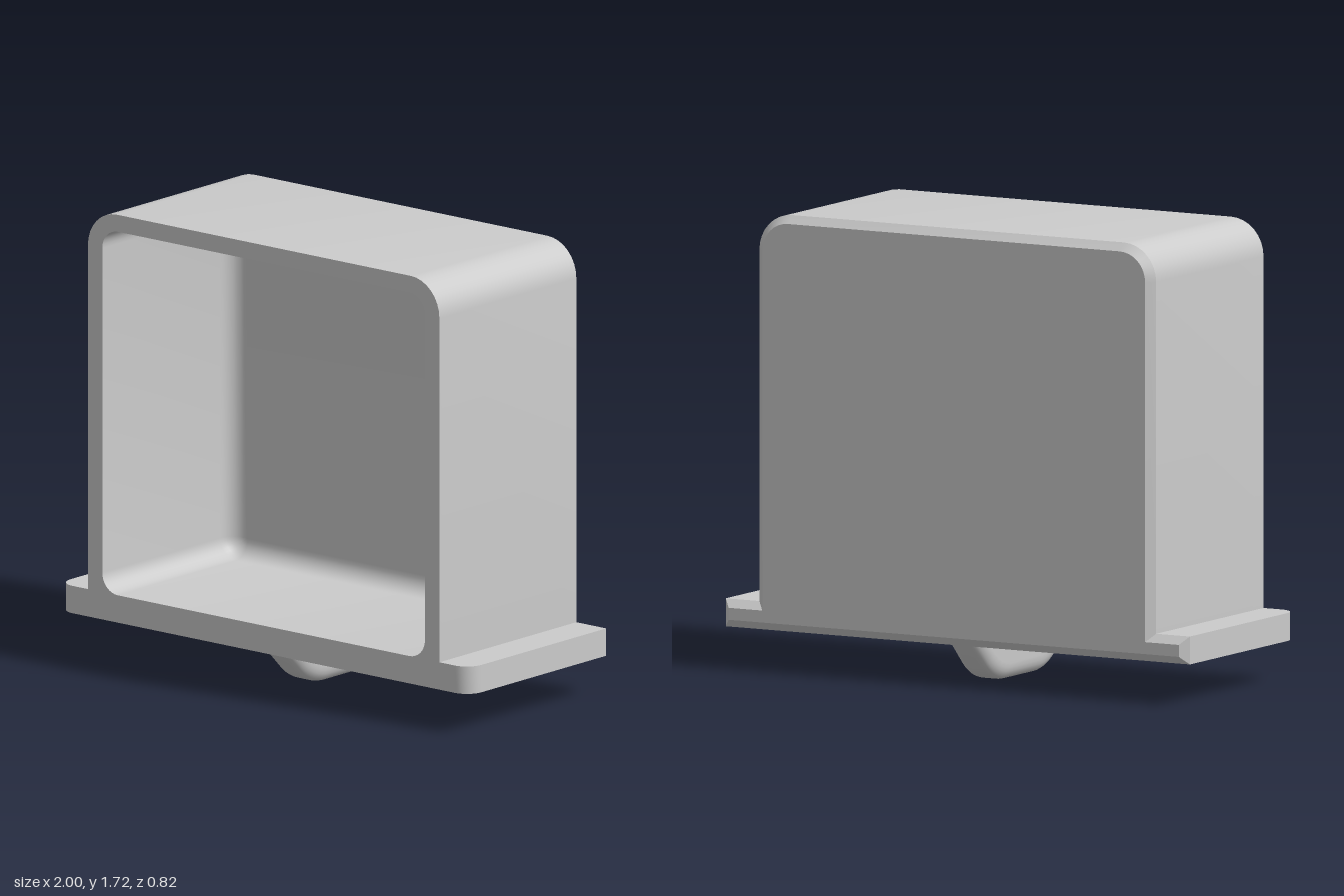
import * as THREE from 'three';
import { mergeGeometries, toCreasedNormals } from 'three/addons/utils/BufferGeometryUtils.js';

const DEPTH = 0.41;      // half depth of the box
const CHAMFER = 0.03;    // back edge chamfer
const BASE = 0.155, FLANGE_TOP = 0.26, TOP = 1.72;

const vec = (x, y) => new THREE.Vector2(x, y);

function arc(cx, cy, r, from, to, steps = 8) {
  return Array.from({ length: steps + 1 }, (_, i) => {
    const a = from + ((to - from) * i) / steps;
    return vec(cx + r * Math.cos(a), cy + r * Math.sin(a));
  });
}

// Skin between counter-clockwise loops, each { z, pts }; rising z faces outward
function loft(sections) {
  const n = sections[0].pts.length, pos = [], index = [];
  for (const { z, pts } of sections) for (const p of pts) pos.push(p.x, p.y, z);
  for (let s = 0; s < sections.length - 1; s++) {
    for (let i = 0; i < n; i++) {
      const j = (i + 1) % n;
      const a = s * n + i, b = s * n + j, c = b + n, d = a + n;
      index.push(a, b, c, a, c, d);
    }
  }
  const g = new THREE.BufferGeometry();
  g.setAttribute('position', new THREE.Float32BufferAttribute(pos, 3));
  g.setIndex(index);
  return g.toNonIndexed();
}

// Flat cap at z, facing +z, or -z when flipped
function cap(pts, z, { flip = false, hole = null } = {}) {
  const shape = new THREE.Shape(pts);
  if (hole) shape.holes.push(new THREE.Path(hole));
  const g = new THREE.ShapeGeometry(shape);
  if (flip) g.setIndex(Array.from(g.index.array).reverse());
  g.translate(0, 0, z);
  g.deleteAttribute('uv');
  g.deleteAttribute('normal');
  return g.toNonIndexed();
}

function part(name, pieces) {
  const material = new THREE.MeshStandardMaterial({ color: 0xcccccc });
  const mesh = new THREE.Mesh(toCreasedNormals(mergeGeometries(pieces), 0.6), material);
  mesh.name = name;
  return mesh;
}

// Outer outline with flange, inset by d, flange ends limited to |x| <= limit
function outline(d, limit = 1) {
  const w = 0.855, r = 0.14, e = Math.min(1 - d, limit);
  return [
    vec(-e, BASE + d), vec(e, BASE + d), vec(e, FLANGE_TOP - d), vec(w - d, FLANGE_TOP - d),
    ...arc(w - r, TOP - r, r - d, 0, Math.PI / 2),
    ...arc(r - w, TOP - r, r - d, Math.PI / 2, Math.PI),
    vec(d - w, FLANGE_TOP - d), vec(-e, FLANGE_TOP - d),
  ];
}

// Rounded cavity opening, inset by d
function opening(d) {
  const r = 0.075, x = 0.785 - r, y0 = 0.26 + r, y1 = 1.655 - r, q = Math.PI / 2;
  return [
    ...arc(x, y0, r - d, -q, 0), ...arc(x, y1, r - d, 0, q),
    ...arc(-x, y1, r - d, q, 2 * q), ...arc(-x, y0, r - d, 2 * q, 3 * q),
  ];
}

// Side profile of the bottom loop, inset by d
function finProfile(d) {
  const R = 0.217, c = 0.11, r = R - d, y = 0.16, q = Math.PI / 4;
  const end = c + r * Math.SQRT1_2 + (y - (R - r * Math.SQRT1_2));
  return [
    vec(-end, y), ...arc(-c, R, r, -3 * q, -2 * q), ...arc(c, R, r, -2 * q, -q), vec(end, y),
  ];
}

function makeHousing() {
  // Outer skin: chamfered back, flange ends rounded towards the front
  const outer = [
    { z: -DEPTH, pts: outline(CHAMFER) },
    { z: -DEPTH + CHAMFER, pts: outline(0) },
  ];
  const round = 0.07;
  for (let i = 0; i <= 8; i++) {
    const a = (i / 8) * Math.PI / 2;
    outer.push({
      z: DEPTH - round + round * Math.sin(a),
      pts: outline(0, 1 - round + round * Math.cos(a)),
    });
  }
  // Cavity: straight walls, then a fillet into the back wall
  const fillet = 0.07, floorZ = -DEPTH + 0.07;
  const inner = [{ z: DEPTH, pts: opening(0) }];
  for (let i = 0; i <= 8; i++) {
    const a = (i / 8) * Math.PI / 2;
    inner.push({
      z: floorZ + fillet * (1 - Math.sin(a)),
      pts: opening(fillet * (1 - Math.cos(a))),
    });
  }
  return part('housing', [
    loft(outer),
    loft(inner),
    cap(outline(0, 1 - round), DEPTH, { hole: opening(0) }),
    cap(opening(fillet), floorZ),
    cap(outline(CHAMFER), -DEPTH, { flip: true }),
  ]);
}

function makeFin() {
  // Cross-sections over the width, with rounded rims on both sides
  const half = 0.07, rimX = 0.04, rimY = 0.06, steps = 6, sections = [];
  for (const side of [-1, 1]) {
    for (let i = 0; i <= steps; i++) {
      const t = side < 0 ? steps - i : i;
      const a = (t / steps) * Math.PI / 2;
      sections.push({
        z: side * (half - rimX + rimX * Math.sin(a)),
        pts: finProfile(rimY * (1 - Math.cos(a))),
      });
    }
  }
  const fin = part('bottomFin', [
    loft(sections),
    cap(finProfile(rimY), half),
    cap(finProfile(rimY), -half, { flip: true }),
  ]);
  fin.rotation.y = Math.PI / 2;
  return fin;
}

export function createModel() {
  const model = new THREE.Group();
  model.name = 'openBoxWithFlange';
  model.add(makeHousing(), makeFin());
  return model;
}
